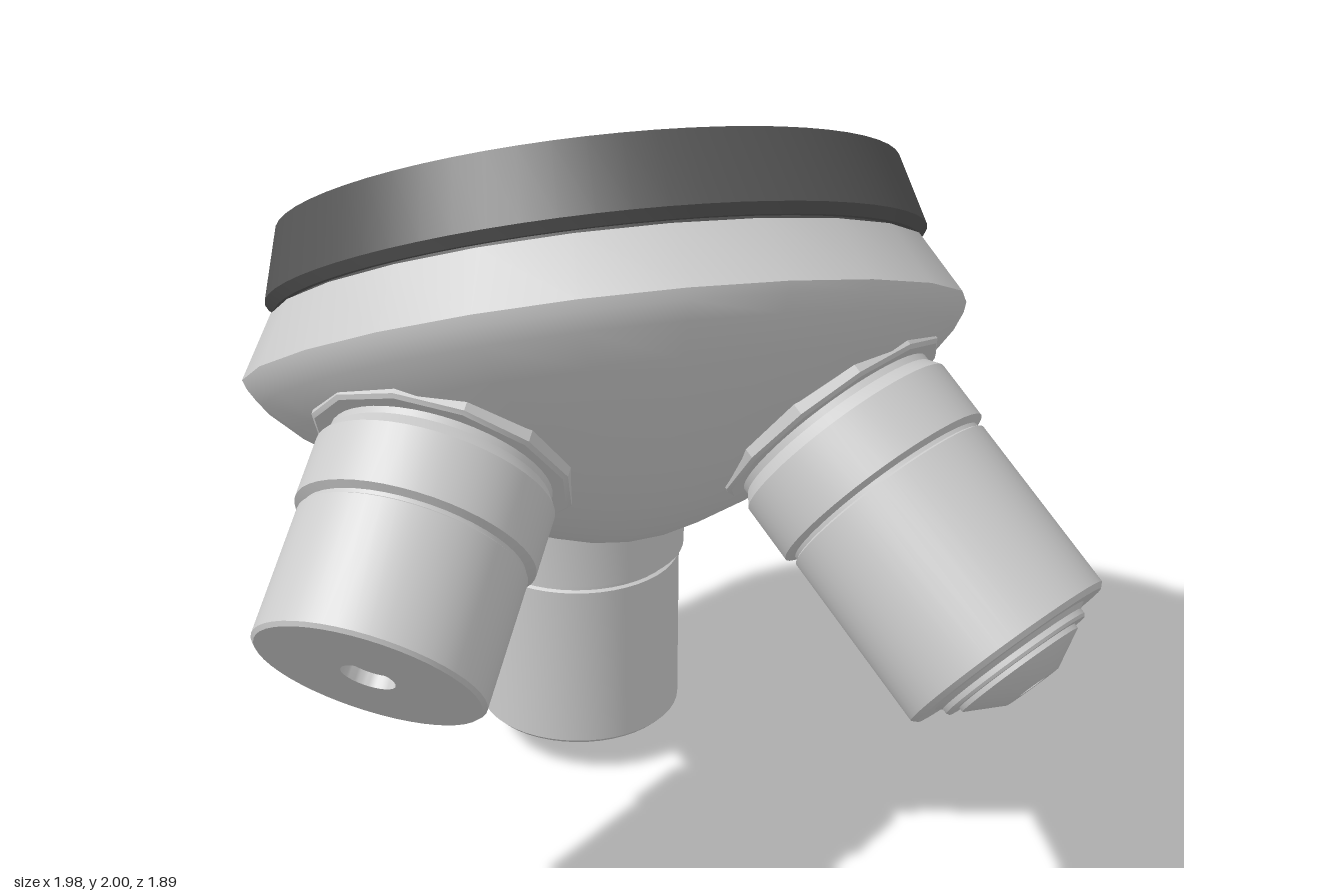
import * as THREE from 'three';
import { toCreasedNormals } from 'three/addons/utils/BufferGeometryUtils.js';

const grey = new THREE.MeshStandardMaterial({ color: 0xcccccc });
const dark = new THREE.MeshStandardMaterial({ color: 0x555555 });

// Solid of revolution from [radius, height] pairs, listed bottom to top
function turned(name, profile, sides, material = grey, crease = 0.5) {
  const points = profile.map(([r, y]) => new THREE.Vector2(r, y));
  const geometry = toCreasedNormals(new THREE.LatheGeometry(points, sides), crease);
  const mesh = new THREE.Mesh(geometry, material);
  mesh.name = name;
  return mesh;
}

// Heights are measured from the point where all the lens axes meet
const APEX = 1.89;
const barrel = [
  [0.277, 0.56], [0.268, 0.565], [0.268, 0.575], [0.29, 0.585],
  [0.29, 0.735], [0.27, 0.765], [0.27, 0.9], [0, 0.9],
];
const lensTip = [
  [0, 0.02], [0.035, 0.015], [0.038, 0], [0.075, 0], [0.167, 0.048], [0.167, 0.06],
  [0.195, 0.06], [0.2, 0.067], [0.2, 0.08], [0.215, 0.09], [0.265, 0.09], [0.277, 0.102],
];
const flatTip = [[0, 0.27], [0.065, 0.27], [0.065, 0.238], [0.268, 0.238], [0.277, 0.247]];

// One objective with the low boss it screws into
function objective(name, tip, turn) {
  const group = new THREE.Group();
  group.name = name;
  const profile = [...tip, ...barrel].map(([r, y]) => [r, y - APEX]);
  group.add(turned(name + 'Barrel', profile, 48));
  group.add(turned(name + 'Boss', [[0, -1.108], [0.31, -1.108], [0.32, -1.1], [0.32, -0.98]], 12));
  group.rotation.set(Math.PI / 6, turn, 0, 'YXZ');
  return group;
}

export function createModel() {
  const model = new THREE.Group();
  model.name = 'objectiveTurret';

  // The whole turret leans 30 degrees
  const turret = new THREE.Group();
  turret.name = 'tiltedTurret';
  turret.position.set(-0.037, APEX, -0.43);
  turret.rotation.x = -Math.PI / 6;
  model.add(turret);

  // Rounded cone with a bevelled flange
  turret.add(turned('turretBody', [
    [0, -1.18], [0.09, -1.172], [0.18, -1.15], [0.3, -1.11], [0.46, -1.03], [0.63, -0.925],
    [0.78, -0.827], [0.86, -0.755], [0.89, -0.715], [0.9, -0.69], [0.815, -0.535], [0, -0.535],
  ], 24, grey, 0.7));

  // Dark mounting disc with a narrow seam beneath it
  turret.add(turned('seam', [[0.79, -0.54], [0.79, -0.52]], 64, dark));
  turret.add(turned('mountingDisc', [
    [0, -0.525], [0.805, -0.525], [0.825, -0.5], [0.78, -0.322], [0, -0.322],
  ], 64, dark));

  // Three objectives spaced evenly around the turret axis
  const third = (2 * Math.PI) / 3;
  turret.add(objective('rearObjective', lensTip, 0));
  turret.add(objective('leftObjective', lensTip, -third));
  turret.add(objective('rightShortObjective', flatTip, third));
  return model;
}
